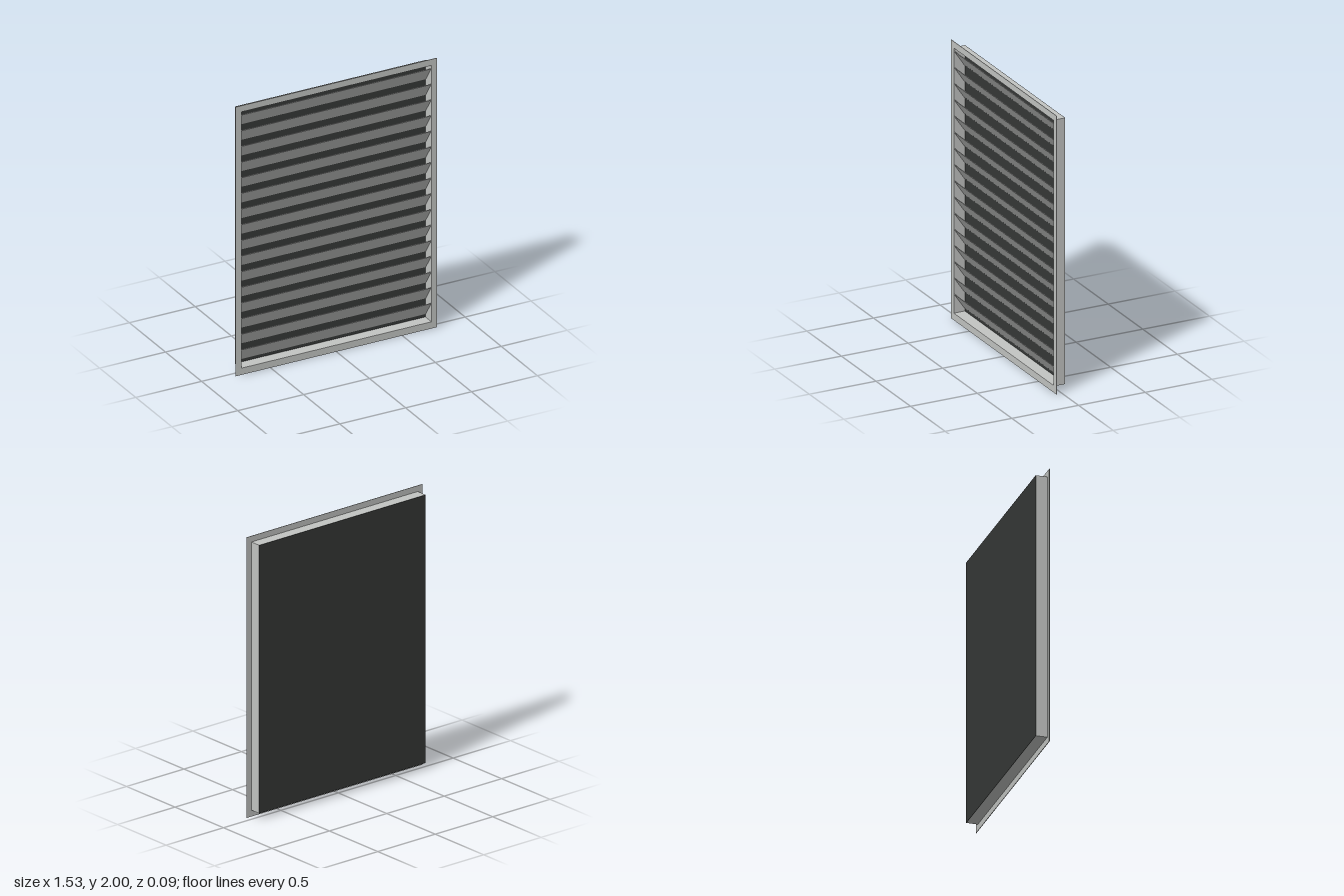
import * as THREE from 'three';

const DEPTH = 0.085;               // overall depth, front to back
const FRONT = DEPTH / 2, BACK = -DEPTH / 2;
const SHEET = 0.004;               // sheet metal thickness
const CENTRE_Y = 1.002;            // middle of the opening

// Rectangular ring, extruded along z from z0 to z1
function ring(outerW, outerH, outerY, innerW, innerH, innerY, z0, z1) {
  const rect = (Type, w, h, y) => new Type([
    new THREE.Vector2(-w / 2, y - h / 2), new THREE.Vector2(w / 2, y - h / 2),
    new THREE.Vector2(w / 2, y + h / 2), new THREE.Vector2(-w / 2, y + h / 2),
  ]);
  const shape = rect(THREE.Shape, outerW, outerH, outerY);
  shape.holes.push(rect(THREE.Path, innerW, innerH, innerY));
  return new THREE.ExtrudeGeometry(shape, { depth: z1 - z0, bevelEnabled: false }).translate(0, 0, z0);
}

export function createModel() {
  const group = new THREE.Group();
  const metal = new THREE.MeshStandardMaterial({ color: 0xc2c4c2 });
  metal.name = 'light grey metal';
  const dark = new THREE.MeshStandardMaterial({ color: 0x363837 });
  dark.name = 'dark backing';

  const add = (name, geometry, material, parent = group) => {
    const mesh = new THREE.Mesh(geometry, material);
    mesh.name = name;
    parent.add(mesh);
    return mesh;
  };

  // Thin front flange and the shallow duct behind it
  add('flange', ring(1.53, 2, 1, 1.442, 1.904, CENTRE_Y, FRONT - SHEET, FRONT), metal);
  add('ductWalls', ring(1.45, 1.912, CENTRE_Y, 1.442, 1.904, CENTRE_Y, BACK + 0.002, FRONT - SHEET), metal);

  // Dark panel closing the back
  add('backPanel', new THREE.BoxGeometry(1.45, 1.912, 0.002), dark).position.set(0, CENTRE_Y, BACK + 0.001);

  // Sixteen slats, top edge at the front, bottom edge at the back
  const slats = new THREE.Group();
  slats.name = 'slats';
  group.add(slats);
  const count = 16, pitch = 0.1163, rise = 0.109, run = 0.074;
  const slatGeometry = new THREE.BoxGeometry(1.442, Math.hypot(rise, run), SHEET);
  for (let i = 0; i < count; i++) {
    const slat = add('slat' + (i + 1), slatGeometry, metal, slats);
    slat.position.set(0, CENTRE_Y + (i - (count - 1) / 2) * pitch, 0);
    slat.rotation.x = Math.atan2(run, rise);
  }
  return group;
}
